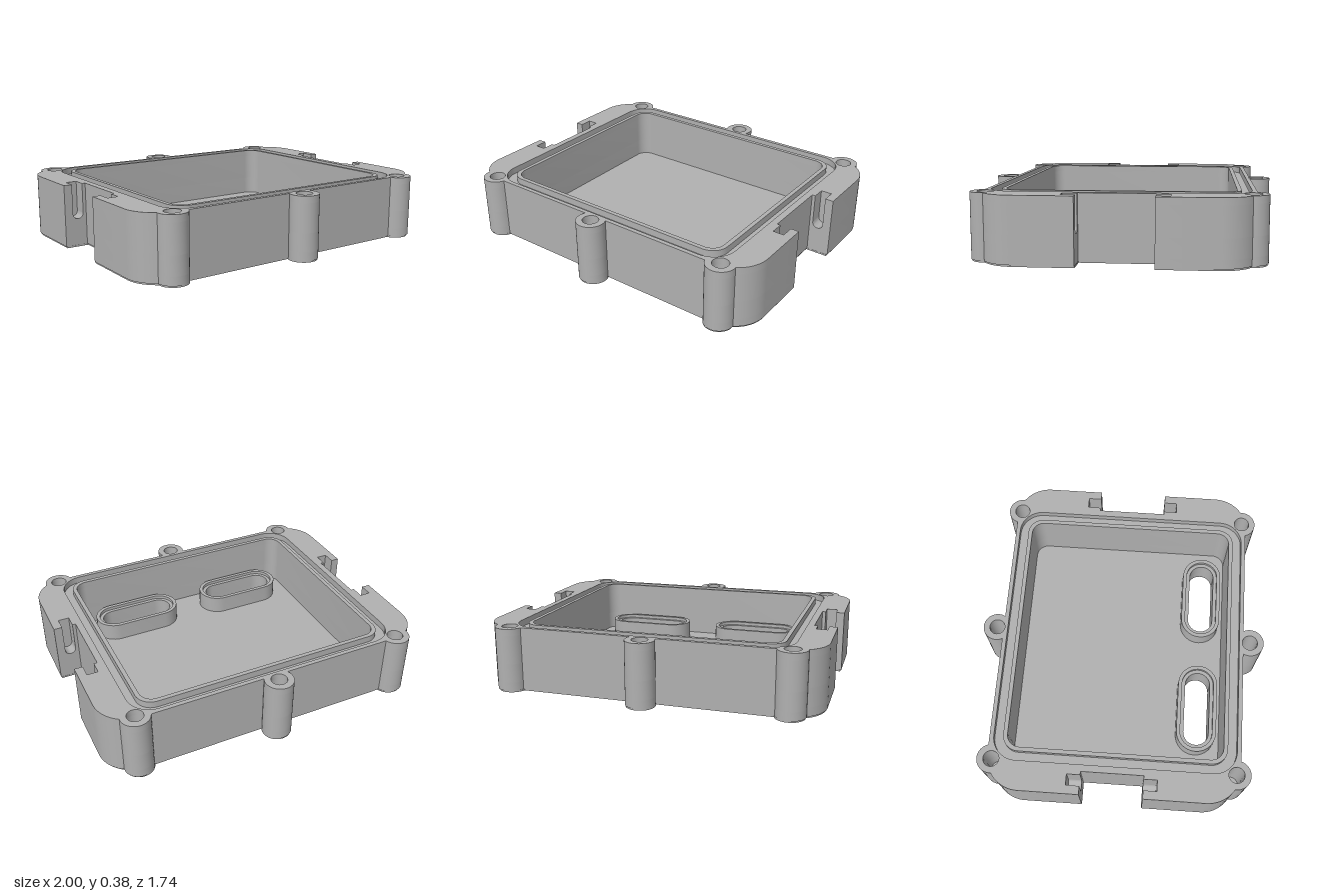
import * as THREE from 'three';
import { toCreasedNormals } from 'three/addons/utils/BufferGeometryUtils.js';

const PI = Math.PI;
const H = 0.38, FLOOR = 0.06, SLOT = 0.17, GROOVE = 0.34;
const SLOT_IN = 0.885, SLOT_OUT = 0.95, SLOT_LEN = 0.08;
const NOTCHES = [{ s: 1, a: 0.18, b: -0.19 }, { s: -1, a: 0.21, b: -0.21 }];
const SCREWS = [-1, 1].flatMap(s => [[0.825, 0.72 * s], [-0.825, 0.72 * s], [0, 0.785 * s]]);
const PORTS = [-0.377, 0.377];

// Points along an arc
function arc(cx, cy, r, a0, a1, n = 14) {
  return Array.from({ length: n + 1 }, (_, i) => {
    const a = a0 + (a1 - a0) * i / n;
    return [cx + r * Math.cos(a), cy + r * Math.sin(a)];
  });
}

// Rounded body with screw bosses and side notches, in x and z
function outline(withSlots) {
  const pts = [];
  for (const { s, a, b } of NOTCHES) {
    const half = [
      ...arc(0.8, 0.545, 0.2, 0, 0.991, 10),
      ...arc(0.825, 0.72, 0.085, -0.09, 2.843, 18),
      ...arc(0, 0.785, 0.085, -0.49, PI + 0.49, 24),
      ...arc(-0.825, 0.72, 0.085, PI - 2.843, PI + 0.09, 18),
      ...arc(-0.8, 0.545, 0.2, PI - 0.991, PI, 10),
    ];
    const upper = z => [[-SLOT_OUT, z], [-SLOT_OUT, z + SLOT_LEN], [-SLOT_IN, z + SLOT_LEN], [-SLOT_IN, z]];
    half.push([-1, a]);
    if (withSlots) half.push(...upper(a));
    half.push([-0.865, a], [-0.865, b]);
    if (withSlots) half.push(...upper(-b).reverse().map(([x, z]) => [x, -z]));
    half.push([-1, b]);
    pts.push(...half.map(([x, z]) => [x * s, z * s]));
  }
  return pts;
}

const roundRect = (w, d, r) => [
  ...arc(w - r, d - r, r, 0, PI / 2, 10), ...arc(r - w, d - r, r, PI / 2, PI, 10),
  ...arc(r - w, r - d, r, PI, 1.5 * PI, 10), ...arc(w - r, r - d, r, 1.5 * PI, 2 * PI, 10),
];
const capsule = (x, r) => [
  ...arc(x + 0.155, 0.49, r, -PI / 2, PI / 2, 16), ...arc(x - 0.155, 0.49, r, PI / 2, 1.5 * PI, 16),
];
const toVectors = pts => pts.map(p => new THREE.Vector2(p[0], p[1]));

export function createModel() {
  const group = new THREE.Group();
  const grey = new THREE.MeshStandardMaterial({ color: 0xb0b0b0 });
  grey.name = 'grey';

  const add = (name, geometry) => {
    const mesh = new THREE.Mesh(toCreasedNormals(geometry, 0.5), grey);
    mesh.name = name;
    group.add(mesh);
    return mesh;
  };
  const extrude = (pts, holes, depth) => {
    const shape = new THREE.Shape(toVectors(pts));
    shape.holes = holes.map(h => new THREE.Path(toVectors(h)));
    return new THREE.ExtrudeGeometry(shape, { depth, bevelEnabled: false });
  };
  // Plan-view slab between two heights
  const slab = (name, pts, holes, y0, y1) =>
    add(name, extrude(pts, holes, y1 - y0).rotateX(PI / 2).translate(0, y1, 0));

  const cavity = roundRect(0.745, 0.64, 0.075);
  const screwHoles = SCREWS.map(([x, z]) => arc(x, z, 0.047, 0, 2 * PI, 24).slice(0, -1));
  const portHoles = PORTS.map(x => capsule(x, 0.078));
  const plain = outline(false), slotted = outline(true);

  // Floor with a slightly inset bottom edge
  slab('baseEdge', plain.map(([x, z]) => [x * 0.994, z * 0.994]), portHoles, 0, 0.01);
  slab('floor', plain, portHoles, 0.01, FLOOR);

  // Walls around the cavity, with blind screw holes
  slab('lowerWall', plain, [cavity, ...screwHoles], FLOOR, SLOT);
  slab('upperWall', slotted, [cavity, ...screwHoles], SLOT, GROOVE);

  // Seal groove between the outer rim and the inner lip
  slab('rim', slotted, [roundRect(0.825, 0.72, 0.14), ...screwHoles], GROOVE, H);
  slab('innerLip', roundRect(0.77, 0.665, 0.095), [cavity], GROOVE, H);

  // Stepped collars around the two floor openings
  for (const x of PORTS) {
    slab('portCollar', capsule(x, 0.123), [capsule(x, 0.1)], FLOOR, 0.17);
    slab('portCollarStep', capsule(x, 0.1), [capsule(x, 0.078)], FLOOR, 0.15);
  }

  // Rounded bottoms of the pin slots beside each notch
  const r = (SLOT_OUT - SLOT_IN) / 2;
  const cradle = [[-r, 0], [r, 0], ...arc(0, r, r, 0, -PI, 12)]
    .filter(([x, y], i) => i < 2 || y > 0.0005);
  const corners = [
    [[-r, 0], [-0.001, 0], ...arc(0, r, r, -PI / 2 - 0.03, -PI, 8)],
    [[0.001, 0], [r, 0], ...arc(0, r, r, 0, -PI / 2 + 0.03, 8)],
  ];
  for (const { s, a, b } of NOTCHES) {
    for (const z of [a, b - SLOT_LEN]) {
      const z0 = s > 0 ? z : -z - SLOT_LEN;
      for (const c of corners) {
        add('slotBottom', extrude(c, [], SLOT_LEN)
          .translate(-s * (SLOT_IN + SLOT_OUT) / 2, SLOT, z0));
      }
    }
  }
  return group;
}
